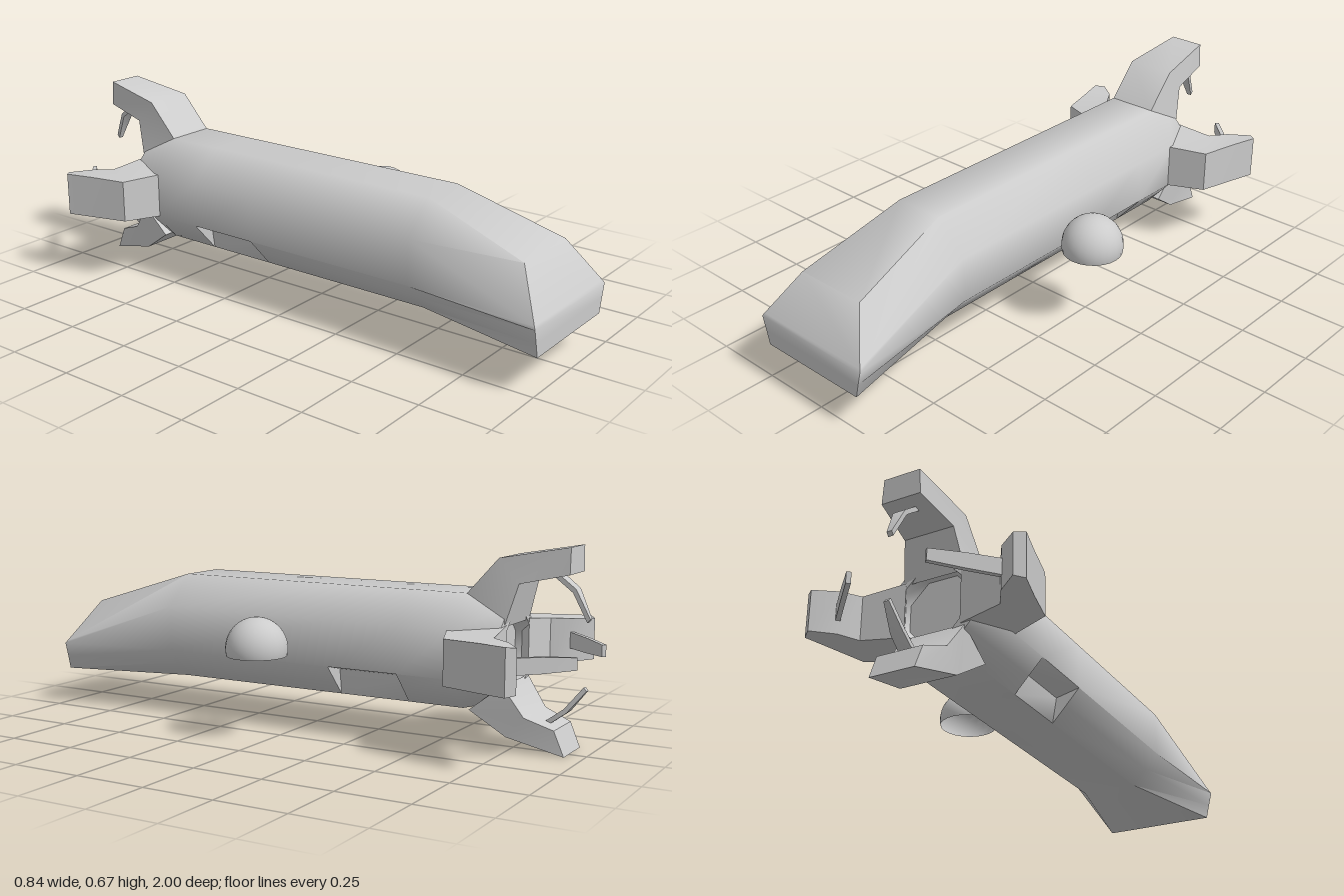
import * as THREE from 'three';
import { toCreasedNormals } from 'three/addons/utils/BufferGeometryUtils.js';

const material = new THREE.MeshStandardMaterial({ color: 0xcccccc, side: THREE.DoubleSide });

// Skin mirrored sections: each is the right half, [x, y, z] from bottom to top.
function loft(name, sections, crease = 0.9) {
  const n = sections[0].length;
  const size = n * 2;
  const positions = [];
  const index = [];
  for (const half of sections) {
    for (const [x, y, z] of half) positions.push(x, y, z);
    for (const [x, y, z] of [...half].reverse()) positions.push(-x, y, z);
  }
  for (let s = 0; s < sections.length - 1; s++) {
    for (let j = 0; j < size; j++) {
      const k = (j + 1) % size;
      const a = s * size;
      const b = a + size;
      index.push(a + j, b + j, b + k, a + j, b + k, a + k);
    }
  }
  // End caps, as strips between mirrored points
  const last = (sections.length - 1) * size;
  for (let i = 0; i < n - 1; i++) {
    const [r0, r1, l1, l0] = [i, i + 1, size - 2 - i, size - 1 - i];
    index.push(r0, r1, l1, r0, l1, l0);
    index.push(last + r0, last + l1, last + r1, last + r0, last + l0, last + l1);
  }
  const geometry = new THREE.BufferGeometry();
  geometry.setAttribute('position', new THREE.Float32BufferAttribute(positions, 3));
  geometry.setIndex(index);
  const mesh = new THREE.Mesh(toCreasedNormals(geometry, crease), material);
  mesh.name = name;
  return mesh;
}

// Octagonal hull section about the axis; dent pushes the lower chamfer inwards.
const CENTER_Y = 0.32;
function hullSection(z, scale = 1, dent = 0) {
  return [
    [0.1, -0.19], [0.15 - dent, -0.135 + dent], [0.2, -0.08], [0.2, 0.08], [0.09, 0.19],
  ].map(([x, y]) => [x * scale, y * scale, z]);
}

// Limb from rings [outerRadius, outerZ, innerRadius, innerZ, outerHalfWidth, innerHalfWidth].
function limb(name, rings) {
  return loft(name, rings.map(([ro, zo, ri, zi, wo, wi]) => [[wi, ri, zi], [wo, ro, zo]]), 0.75);
}

// Thin curved spike along [radius, z, halfWidth] points.
function spike(name, path) {
  return limb(name, path.map(([r, z, w]) => [r + 0.006, z - 0.005, r - 0.006, z + 0.005, w, w]));
}

function claw(name, angle, arm, thorn) {
  const group = new THREE.Group();
  group.name = name;
  group.add(limb('clawArm', arm), spike('clawSpike', thorn));
  group.rotation.z = angle;
  return group;
}

export function createModel() {
  const model = new THREE.Group();
  model.name = 'clawedShip';

  const ship = new THREE.Group();
  ship.name = 'ship';
  ship.position.set(-0.03, CENTER_Y, 0);
  model.add(ship);

  // Hull: wedge nose, octagonal barrel with two side pockets, recessed rear opening
  const nose = [
    [0.21, -0.19, 1], [0.222, -0.14, 1], [0.235, -0.09, 1], [0.229, -0.08, 0.994], [0.135, 0.07, 0.9],
  ];
  ship.add(loft('hull', [
    nose,
    hullSection(0.52),
    hullSection(-0.14),
    hullSection(-0.141, 1, 0.035),
    hullSection(-0.4, 1, 0.035),
    hullSection(-0.401),
    hullSection(-0.6),
    hullSection(-0.74, 0.8),
    hullSection(-0.745, 0.62),
    hullSection(-0.69, 0.58),
  ]));

  // Upper claw
  ship.add(claw('upperClaw', 0, [
    [0.188, -0.6, 0.09, -0.74, 0.09, 0.11],
    [0.31, -0.71, 0.23, -0.78, 0.09, 0.09],
    [0.352, -0.94, 0.265, -0.94, 0.065, 0.07],
  ], [[0.265, -0.87, 0.025], [0.21, -0.94, 0.022], [0.115, -0.985, 0.009]]));

  // Side claws
  for (const [name, side] of [['leftClaw', 1], ['rightClaw', -1]]) {
    ship.add(claw(name, -side * Math.PI / 2, [
      [0.198, -0.58, 0.1, -0.745, 0.08, 0.095],
      [0.33, -0.63, 0.25, -0.765, 0.075, 0.078],
      [0.362, -0.76, 0.29, -0.83, 0.077, 0.075],
      [0.39, -0.86, 0.36, -0.885, 0.077, 0.072],
    ], [[0.3, -0.82, 0.028], [0.215, -0.91, 0.026], [0.135, -0.992, 0.02]]));
  }

  // Lower claw
  ship.add(claw('lowerClaw', Math.PI, [
    [0.188, -0.63, 0.1, -0.74, 0.125, 0.115],
    [0.27, -0.75, 0.2, -0.81, 0.1, 0.1],
    [0.318, -0.94, 0.235, -0.905, 0.078, 0.08],
  ], [[0.24, -0.84, 0.025], [0.18, -0.92, 0.022], [0.105, -0.98, 0.009]]));

  // Hollow dome floating beside the hull
  const dome = new THREE.Mesh(
    new THREE.SphereGeometry(0.106, 24, 12, 0, Math.PI * 2, 0, Math.PI / 2 + 0.24), material);
  dome.name = 'dome';
  dome.position.set(0.316, 0.309, 0.05);
  model.add(dome);

  return model;
}
